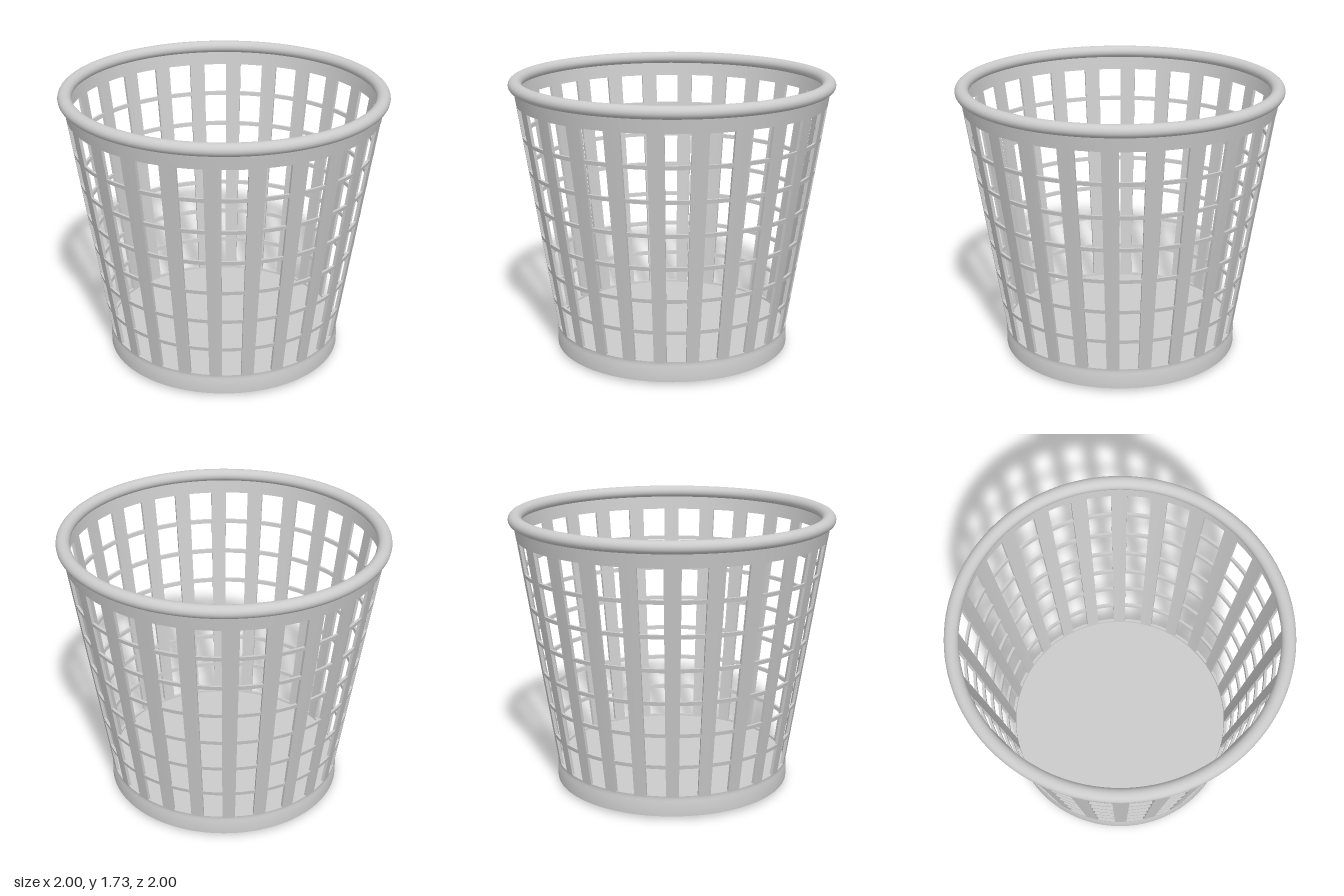
import * as THREE from 'three';
import { toCreasedNormals } from 'three/addons/utils/BufferGeometryUtils.js';

const SLATS = 24, SEGMENTS = 120, THICK = 0.018;
const material = new THREE.MeshStandardMaterial({ color: 0xcccccc });

// Outer radius of the tapered wall at height y
const wallRadius = (y) => 0.735 + 0.153 * (y - 0.14);

// Solid of revolution from [radius, y] pairs, outer side listed upwards
function revolve(name, points) {
  const profile = points.map(([r, y]) => new THREE.Vector2(r, y));
  const geometry = toCreasedNormals(new THREE.LatheGeometry(profile, SEGMENTS), 0.6);
  const mesh = new THREE.Mesh(geometry, material);
  mesh.name = name;
  return mesh;
}

// Closed hoop lying in the wall between two heights
function hoop(name, y0, y1, inset = 0) {
  const out = (y) => wallRadius(y) - inset;
  const inn = (y) => wallRadius(y) - THICK + inset;
  return revolve(name, [[inn(y0), y0], [out(y0), y0], [out(y1), y1], [inn(y1), y1], [inn(y0), y0]]);
}

// Upright slat: a box bent around the axis and leaned along the wall
function slatGeometry(y0, y1, angle) {
  const geometry = new THREE.BoxGeometry(1, 1, 1, 2, 1, 1);
  const p = geometry.attributes.position;
  for (let i = 0; i < p.count; i++) {
    const a = (p.getX(i) + 0.5) * angle;
    const y = y0 + (p.getY(i) + 0.5) * (y1 - y0);
    const r = wallRadius(y) + (p.getZ(i) - 0.5) * THICK;
    p.setXYZ(i, r * Math.sin(a), y, r * Math.cos(a));
  }
  geometry.computeVertexNormals();
  return geometry;
}

export function createModel() {
  const model = new THREE.Group();
  model.name = 'wasteBasket';

  // Base with floor, outer band and a foot ring underneath
  model.add(revolve('base', [
    [0, 0.02], [0.675, 0.02], [0.68, 0], [0.69, 0], [0.696, 0.006], [0.696, 0.02],
    [0.737, 0.02], [0.737, 0.115], [0.733, 0.125], [0.736, 0.148],
    [0.718, 0.148], [0.716, 0.135], [0, 0.135],
  ]));

  // Slats around the wall
  const slats = new THREE.Group();
  slats.name = 'slats';
  const geometry = slatGeometry(0.13, 1.6, THREE.MathUtils.degToRad(6));
  for (let i = 0; i < SLATS; i++) {
    const slat = new THREE.Mesh(geometry, material);
    slat.name = 'slat';
    slat.rotation.y = (i / SLATS) * Math.PI * 2;
    slats.add(slat);
  }
  model.add(slats);

  // Thin horizontal hoops, set just inside the slat faces
  const hoops = new THREE.Group();
  hoops.name = 'hoops';
  for (let i = 0; i < 6; i++) {
    const y = 0.343 + i * 0.2065;
    hoops.add(hoop('hoop', y - 0.012, y + 0.012, 0.001));
  }
  model.add(hoops);

  // Solid band under the rim
  model.add(hoop('topBand', 1.573, 1.69));

  // Rolled rim
  const rim = [];
  for (let i = 0; i <= 20; i++) {
    const a = (i / 20) * Math.PI * 2;
    rim.push([0.958 + 0.042 * Math.cos(a), 1.692 + 0.038 * Math.sin(a)]);
  }
  model.add(revolve('rim', rim));

  return model;
}
